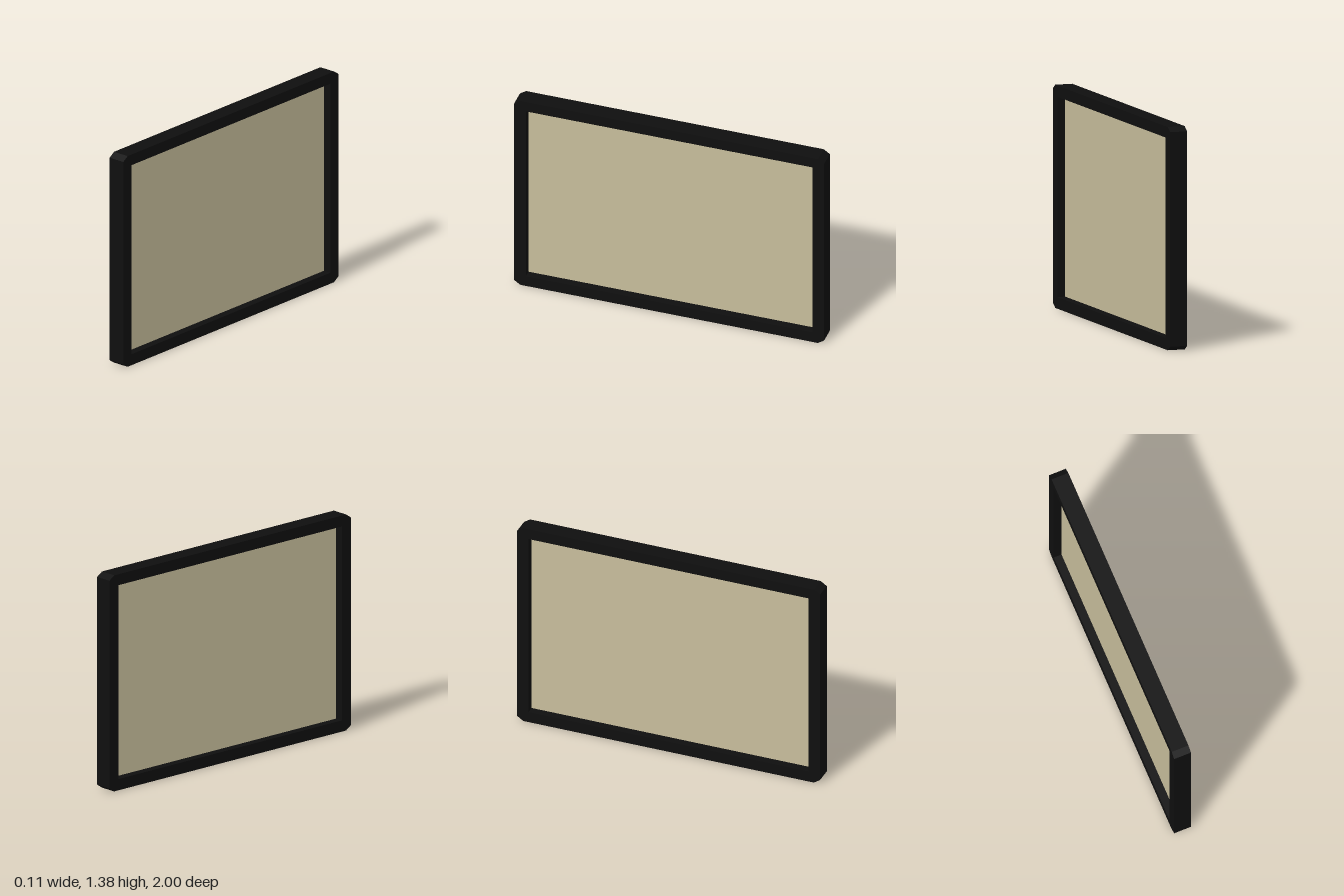
import * as THREE from 'three';

const HEIGHT = 1.38;
const DEPTH = 0.111;

// Rectangle outline with clipped corners, drawn in the (z, y) plane
function clippedRect(halfWidth, height, cutX, cutY) {
  const w = halfWidth;
  return new THREE.Shape([
    [-w + cutX, 0], [w - cutX, 0], [w, cutY], [w, height - cutY],
    [w - cutX, height], [-w + cutX, height], [-w, height - cutY], [-w, cutY],
  ].map(([x, y]) => new THREE.Vector2(x, y)));
}

export function createModel() {
  const group = new THREE.Group();
  group.name = 'framedBoard';

  // Deep frame with clipped corners and a rectangular opening
  const outline = clippedRect(1, HEIGHT, 0.04, 0.027);
  outline.holes.push(new THREE.Path([
    new THREE.Vector2(-0.925, 0.072), new THREE.Vector2(-0.925, 1.31),
    new THREE.Vector2(0.925, 1.31), new THREE.Vector2(0.925, 0.072),
  ]));
  const frameGeometry = new THREE.ExtrudeGeometry(outline, { depth: DEPTH, bevelEnabled: false });
  frameGeometry.translate(0, 0, -DEPTH / 2).rotateY(Math.PI / 2);
  const frame = new THREE.Mesh(
    frameGeometry,
    new THREE.MeshStandardMaterial({ color: 0x0f0f0f, flatShading: true }),
  );
  frame.name = 'frame';
  group.add(frame);

  // Thin panel set midway through the frame, its edges hidden in the bars
  const panel = new THREE.Mesh(
    new THREE.BoxGeometry(0.008, 1.26, 1.87),
    new THREE.MeshStandardMaterial({ color: 0xc8be9c }),
  );
  panel.name = 'panel';
  panel.position.y = (0.072 + 1.31) / 2;
  group.add(panel);

  return group;
}
